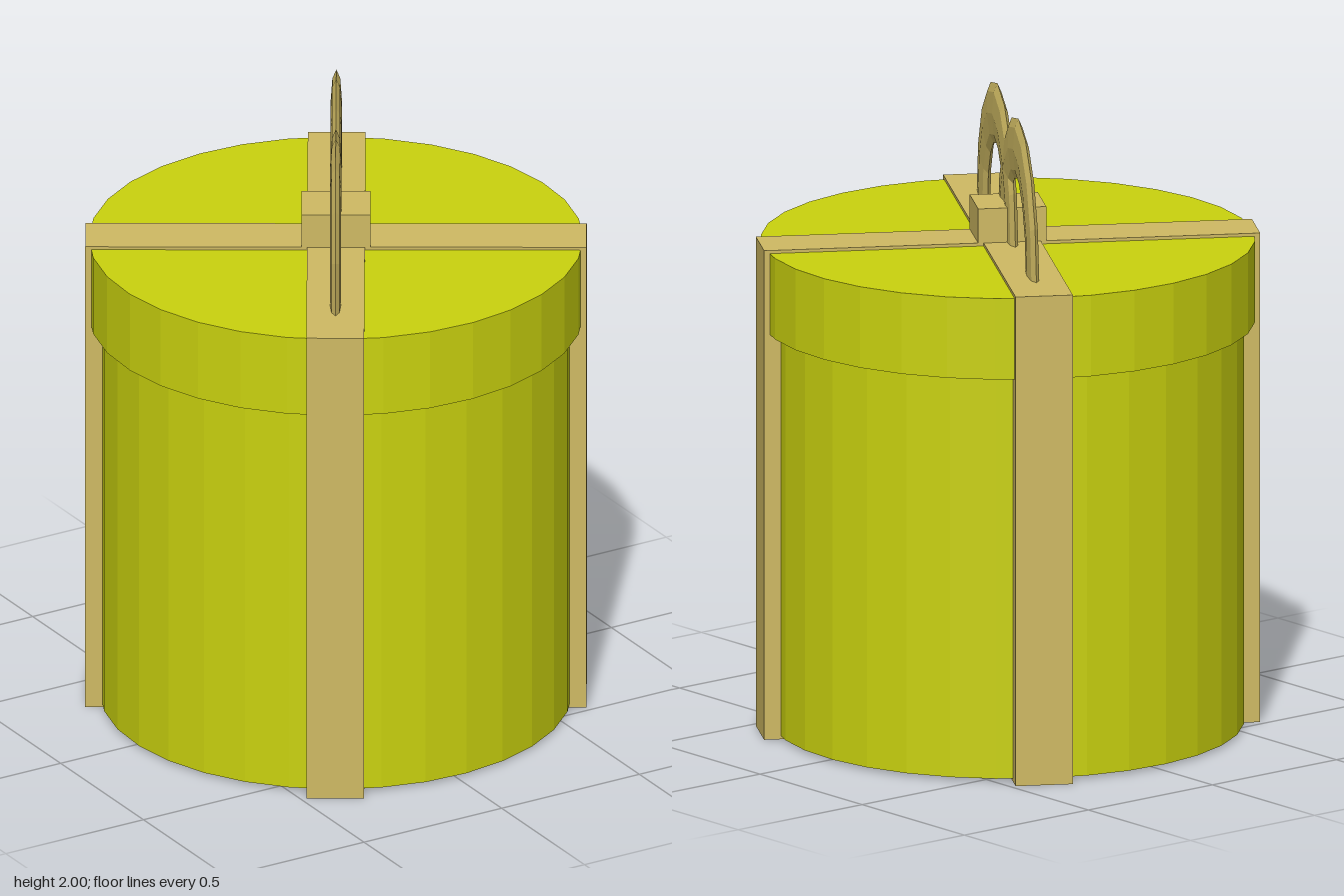
import * as THREE from 'three';

export function createModel() {
  const green = new THREE.MeshStandardMaterial({ color: 0xcad20e, flatShading: true });
  green.name = 'lime paper';
  const tan = new THREE.MeshStandardMaterial({ color: 0xcfba63, flatShading: true });
  tan.name = 'tan ribbon';

  const gift = new THREE.Group();
  gift.name = 'giftBox';
  const add = (name, geometry, material, y = 0, z = 0) => {
    const mesh = new THREE.Mesh(geometry, material);
    mesh.name = name;
    mesh.position.set(0, y, z);
    gift.add(mesh);
    return mesh;
  };

  // Round box and its overhanging lid
  add('body', new THREE.CylinderGeometry(0.735, 0.735, 1.3, 32), green, 0.66);
  add('lid', new THREE.CylinderGeometry(0.77, 0.77, 0.26, 32), green, 1.43);

  // Crossed ribbons wrapping the top, sides and base
  add('longRibbon', new THREE.BoxGeometry(0.18, 1.57, 1.566), tan, 0.785);
  add('crossRibbon', new THREE.BoxGeometry(1.56, 1.57, 0.18), tan, 0.785);

  // Knot in the middle of the bow
  add('knot', new THREE.BoxGeometry(0.214, 0.11, 0.184), tan, 1.625);

  // Two thin arched bow loops that overlap at the knot
  const loop = new THREE.TorusGeometry(0.3, 0.087, 8, 8, Math.PI);
  loop.scale(1, 1.11, 0.2).rotateY(Math.PI / 2);
  for (const side of [-1, 1]) {
    add(side < 0 ? 'backLoop' : 'frontLoop', loop, tan, 1.57, side * 0.227);
  }

  gift.rotation.y = THREE.MathUtils.degToRad(-31.2);
  const model = new THREE.Group();
  model.name = 'gift';
  model.add(gift);
  return model;
}
